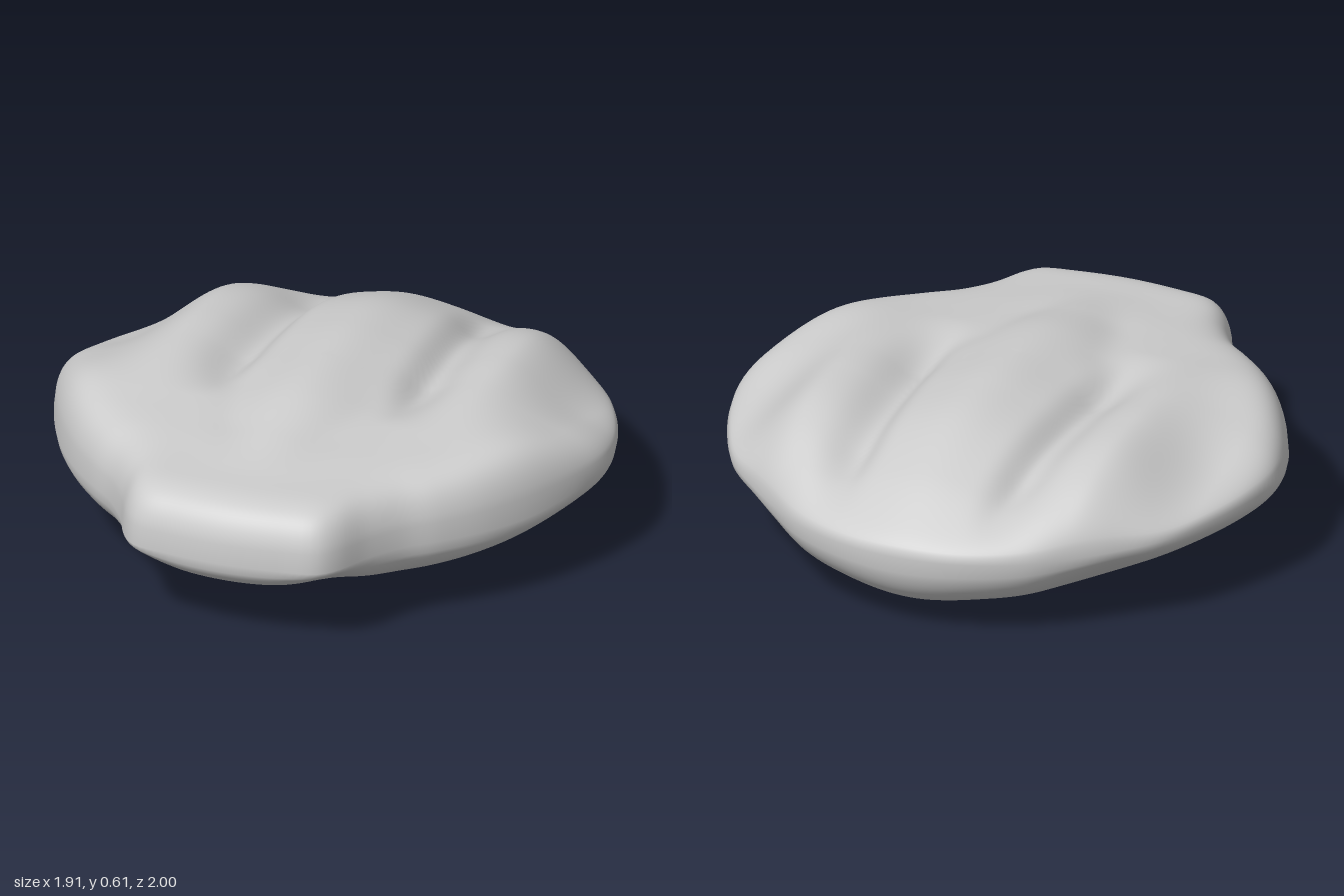
import * as THREE from 'three';

// Half outline from front tip to back, as [x, z]
const HALF = [[0, 1], [0.2, 0.985], [0.32, 0.962], [0.37, 0.915], [0.44, 0.78], [0.52, 0.67], [0.62, 0.58],
  [0.74, 0.45], [0.85, 0.28], [0.93, 0.08], [0.955, -0.07], [0.93, -0.23], [0.86, -0.42], [0.77, -0.58],
  [0.65, -0.7], [0.545, -0.79], [0.41, -0.89], [0.2, -0.975], [0, -1]];

// Height profiles sampled at z = -1, -0.75 ... 1
const CREST = [0.38, 0.49, 0.575, 0.605, 0.605, 0.59, 0.545, 0.505, 0.51];
const RIB = [0.36, 0.45, 0.52, 0.54, 0.535, 0.53, 0.515, 0.5, 0.51];
const FLANK = [0.34, 0.36, 0.385, 0.42, 0.49, 0.54, 0.53, 0.51, 0.51];
const KEEL = [0.04, 0.045, 0.015, 0, 0.01, 0.05, 0.1, 0.15, 0.18];

const { smoothstep, lerp } = THREE.MathUtils;
const bell = (d, w) => Math.exp(-((d / w) ** 2));

// Smooth value of a profile at z
function along(p, z) {
  const t = THREE.MathUtils.clamp((z + 1) * 4, 0, 7.9999), i = Math.floor(t), f = t - i;
  const a = p[Math.max(i - 1, 0)], b = p[i], c = p[i + 1], d = p[Math.min(i + 2, 8)];
  return b + 0.5 * f * (c - a + f * (2 * a - 5 * b + 4 * c - d + f * (3 * (b - c) + d - a)));
}

// Upper surface: central crest, two side ribs, falling flanks and two grooves
function topHeight(x, z) {
  const ax = Math.abs(x), rib = along(RIB, z);
  let y = rib + (along(CREST, z) - rib) * bell(ax, 0.18);
  y = lerp(y, along(FLANK, z), smoothstep(ax, 0.52, 0.83));
  const back = smoothstep(z, -0.95, -0.6);
  y += 0.025 * bell(ax - 0.53, 0.15) * back * (1 - smoothstep(z, -0.05, 0.4));
  const d = ax - (0.32 + 0.05 * z);
  y -= 0.065 * bell(d, d < 0 ? 0.06 : 0.1) * back * (1 - smoothstep(z, -0.1, 0.3));
  // shallow furrows fanning out from the front neck
  const fan = 0.1 + 0.3 * (0.65 - z);
  return y - 0.012 * bell(ax - fan, 0.08) * smoothstep(z, -0.05, 0.2) * (1 - smoothstep(z, 0.4, 0.7));
}

// Underside: shallow keel rising toward the sides, undercut at the front corners
function bottomHeight(x, z) {
  const ax = Math.abs(x);
  const front = 1 - 0.7 * smoothstep(z, 0, 0.7);
  const sides = 0.03 * smoothstep(ax, 0, 0.35) + 0.15 * smoothstep(ax, 0.28, 0.92);
  const corner = bell(Math.hypot(ax - 0.38, z - 0.92), 0.14);
  const notch = bell(Math.hypot(ax - 0.65, z + 0.7), 0.17);
  return along(KEEL, z) + sides * front + 0.05 * corner + 0.025 * notch;
}

function shellGeometry() {
  const mirrored = HALF.slice(1, -1).reverse().map(([x, z]) => [-x, z]);
  const outline = new THREE.CatmullRomCurve3(
    [...HALF, ...mirrored].map(([x, z]) => new THREE.Vector3(x, 0, z)), true);
  const M = 220, K = 56, pos = [], index = [];
  const rim = outline.getSpacedPoints(M);
  // Rings run from the top centre, over the rim, to the bottom centre
  for (let k = 0; k <= 2 * K; k++) {
    const top = k <= K, u = top ? k / K : 2 - k / K;
    const s = Math.sin(u * Math.PI / 2) * (1 - 0.35 * (1 - u) * u);
    for (let j = 0; j < M; j++) {
      const p = rim[j], x = p.x * s, z = p.z * s;
      const front = smoothstep(p.z, 0.55, 0.95), rear = smoothstep(-p.z, 0.1, 1);
      const fore = smoothstep(p.z, -0.1, 0.4);
      const corner = bell(Math.hypot(Math.abs(p.x) - 0.38, p.z - 0.92), 0.14);
      const edgeY = 0.33 - 0.04 * fore - 0.05 * rear;
      const n = top ? 9 + 5 * fore + front : 7 + 5 * fore + 2 * front + 2 * rear - 6 * corner;
      const round = Math.sqrt(Math.max(0, 1 - s ** n));
      const h = top ? topHeight(x, z) : bottomHeight(x, z);
      pos.push(x, edgeY + (h - edgeY) * round, z);
    }
  }
  for (let k = 0; k < 2 * K; k++) {
    for (let j = 0; j < M; j++) {
      const a = k * M + j, b = k * M + (j + 1) % M, c = a + M, d = b + M;
      if (k > 0) index.push(a, c, b);
      if (k < 2 * K - 1) index.push(b, c, d);
    }
  }
  const g = new THREE.BufferGeometry();
  g.setAttribute('position', new THREE.Float32BufferAttribute(pos, 3));
  g.setIndex(index);
  g.computeVertexNormals();
  // Pole vertices coincide, so they share a straight normal
  for (let j = 0; j < M; j++) {
    g.attributes.normal.setXYZ(j, 0, 1, 0);
    g.attributes.normal.setXYZ(2 * K * M + j, 0, -1, 0);
  }
  return g;
}

export function createModel() {
  const group = new THREE.Group();
  group.name = 'shell';
  const body = new THREE.Mesh(shellGeometry(), new THREE.MeshStandardMaterial({ color: 0xcccccc }));
  body.name = 'shellBody';
  group.add(body);
  return group;
}
